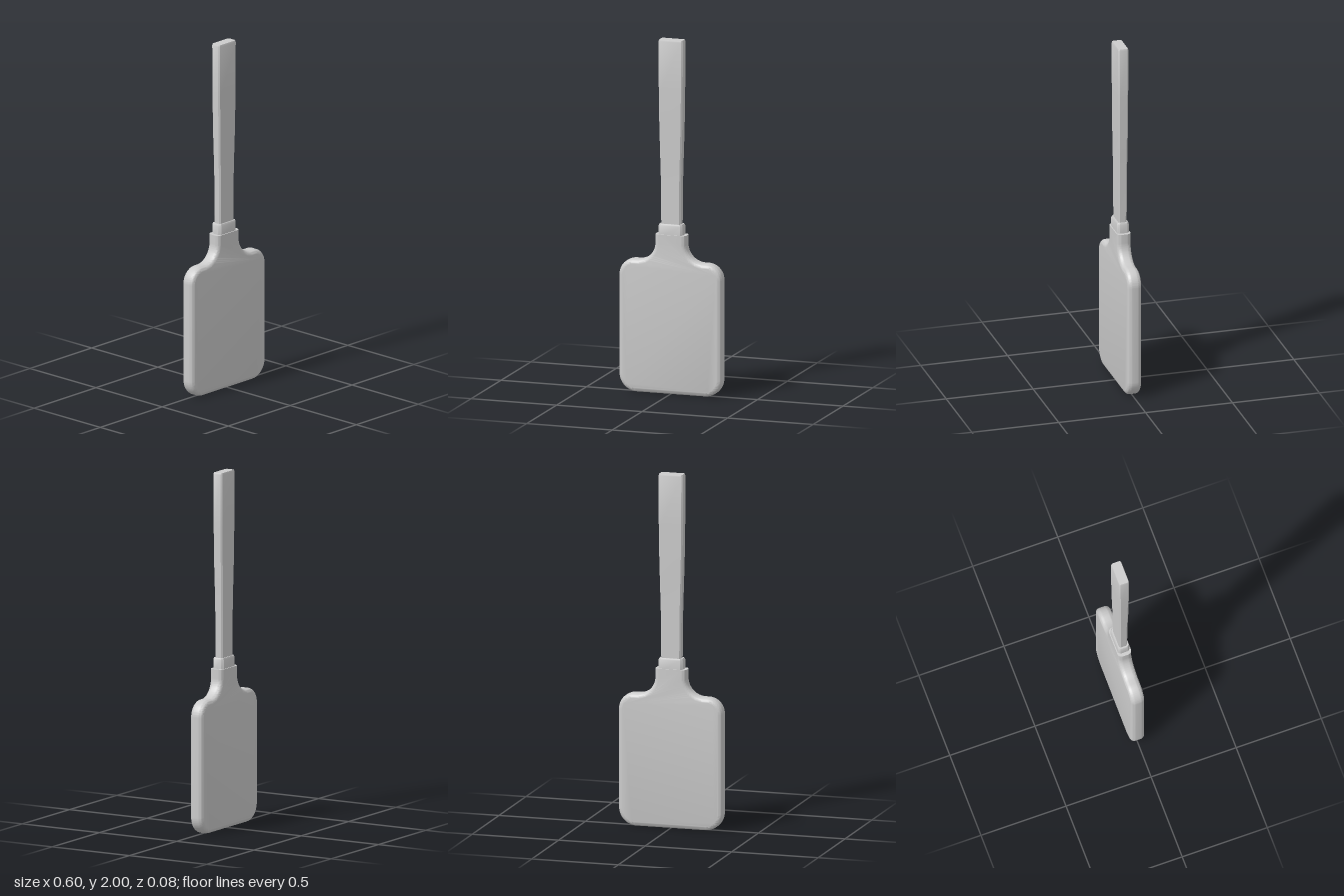
import * as THREE from 'three';
import { toCreasedNormals } from 'three/addons/utils/BufferGeometryUtils.js';

const material = new THREE.MeshStandardMaterial({ color: 0xcccccc });

function addMesh(group, name, geometry, crease) {
  const mesh = new THREE.Mesh(toCreasedNormals(geometry, crease), material);
  mesh.name = name;
  group.add(mesh);
}

// Chamfered-rectangle sections [y, halfWidth, halfDepth, chamfer] joined upwards, capped at both ends
function loft(sections) {
  const positions = [];
  const index = [];
  for (const [y, w, d, c] of sections) {
    const ring = [[w, d - c], [w - c, d], [c - w, d], [-w, d - c],
      [-w, c - d], [c - w, -d], [w - c, -d], [w, c - d]];
    for (const [x, z] of ring) positions.push(x, y, z);
  }
  const top = (sections.length - 1) * 8;
  for (let s = 0; s < top; s += 8) {
    for (let i = 0; i < 8; i++) {
      const a = s + i, b = s + (i + 1) % 8;
      index.push(a, a + 8, b, b, a + 8, b + 8);
    }
  }
  for (let i = 1; i < 7; i++) {
    index.push(0, i, i + 1, top, top + i + 1, top + i);
  }
  const geometry = new THREE.BufferGeometry();
  geometry.setAttribute('position', new THREE.Float32BufferAttribute(positions, 3));
  geometry.setIndex(index);
  return geometry;
}

// Flat blade with rounded corners, sweeping up into a short neck
function bladeGeometry() {
  const neckTop = 0.9, bevel = 0.025, half = 0.04;
  const over = neckTop + 0.04;
  const shape = new THREE.Shape();
  shape.moveTo(-0.2, 0);
  shape.lineTo(0.2, 0);
  shape.absarc(0.2, 0.1, 0.1, -Math.PI / 2, 0, false);
  shape.lineTo(0.3, 0.66);
  shape.absarc(0.21, 0.66, 0.09, 0, Math.PI / 2, false);
  shape.absarc(0.19, 0.85, 0.1, -Math.PI / 2, -Math.PI, true);
  shape.lineTo(0.09, over);
  shape.lineTo(-0.09, over);
  shape.lineTo(-0.09, 0.85);
  shape.absarc(-0.19, 0.85, 0.1, 0, -Math.PI / 2, true);
  shape.absarc(-0.21, 0.66, 0.09, Math.PI / 2, Math.PI, false);
  shape.lineTo(-0.3, 0.1);
  shape.absarc(-0.2, 0.1, 0.1, Math.PI, Math.PI * 1.5, false);
  const geometry = new THREE.ExtrudeGeometry(shape, {
    depth: 2 * (half - bevel), bevelEnabled: true, bevelThickness: bevel,
    bevelSize: bevel, bevelOffset: -bevel, bevelSegments: 5, curveSegments: 14,
  });
  geometry.translate(0, 0, bevel - half);
  // Cut the neck off flat
  const p = geometry.attributes.position;
  for (let i = 0; i < p.count; i++) p.setY(i, Math.min(p.getY(i), neckTop));
  return geometry;
}

export function createModel() {
  const group = new THREE.Group();
  group.name = 'spatula';
  addMesh(group, 'blade', bladeGeometry(), 0.7);

  // Collar between neck and handle
  addMesh(group, 'collar', loft([
    [0.89, 0.07, 0.034, 0.012],
    [0.95, 0.07, 0.034, 0.012],
    [0.96, 0.065, 0.03, 0.01],
  ]), 0.5);

  // Handle widening gently towards its end
  addMesh(group, 'handle', loft([
    [0.95, 0.057, 0.024, 0.008],
    [1.2, 0.059, 0.025, 0.008],
    [1.35, 0.063, 0.026, 0.008],
    [1.5, 0.067, 0.028, 0.008],
    [1.7, 0.07, 0.029, 0.008],
    [1.99, 0.071, 0.03, 0.008],
    [2, 0.067, 0.027, 0.006],
  ]), 0.5);
  return group;
}
